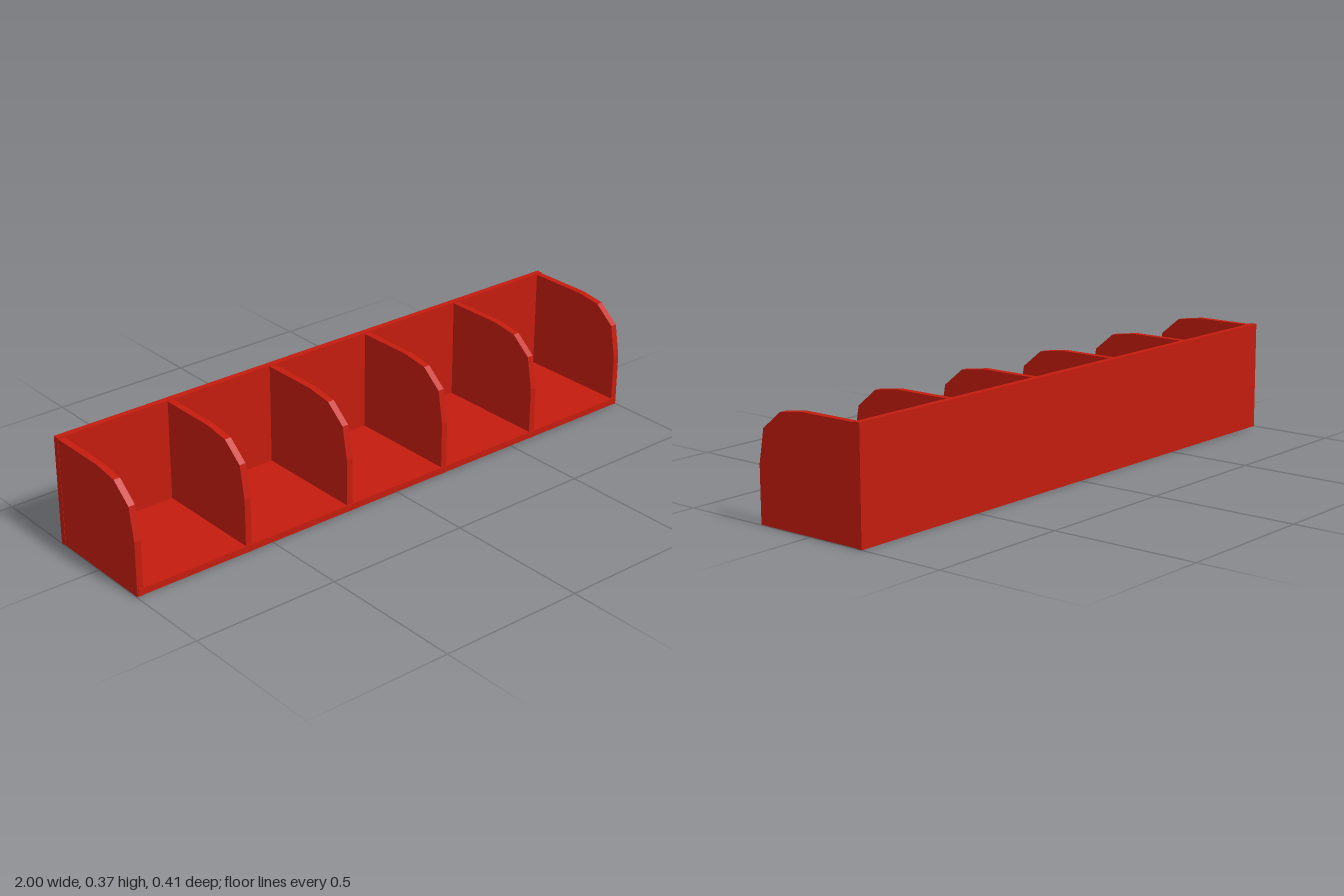
import * as THREE from 'three';

export function createModel() {
  const group = new THREE.Group();
  group.name = 'dividedShelf';
  const red = new THREE.MeshStandardMaterial({ color: 0xc41c0e, flatShading: true });

  const add = (name, geometry, x, y, z) => {
    const mesh = new THREE.Mesh(geometry, red);
    mesh.name = name;
    mesh.position.set(x, y, z);
    group.add(mesh);
  };

  // Full-height back panel
  add('backPanel', new THREE.BoxGeometry(2, 0.369, 0.021), 0, 0.1845, -0.1955);

  // Shelf floor, its front edge just proud of the dividers
  add('floor', new THREE.BoxGeometry(1.99, 0.022, 0.392), 0, 0.015, 0.01);

  // Six evenly spaced dividers with a faceted front corner, drawn as (z, y)
  const thickness = 0.022;
  const outline = [
    [-0.187, 0.001], [0.203, 0.001], [0.203, 0.185], [0.183, 0.295],
    [0.112, 0.353], [0.022, 0.366], [-0.187, 0.366],
  ];
  const profile = new THREE.Shape(outline.map(([z, y]) => new THREE.Vector2(z, y)));
  const divider = new THREE.ExtrudeGeometry(profile, { depth: thickness, bevelEnabled: false });
  divider.translate(0, 0, -thickness / 2).rotateY(-Math.PI / 2);
  const outer = 1 - thickness / 2 - 0.001;
  for (let i = 0; i < 6; i++) {
    const name = i === 0 ? 'rightEnd' : i === 5 ? 'leftEnd' : 'divider' + i;
    add(name, divider, -outer + (i * 2 * outer) / 5, 0, 0);
  }
  return group;
}
